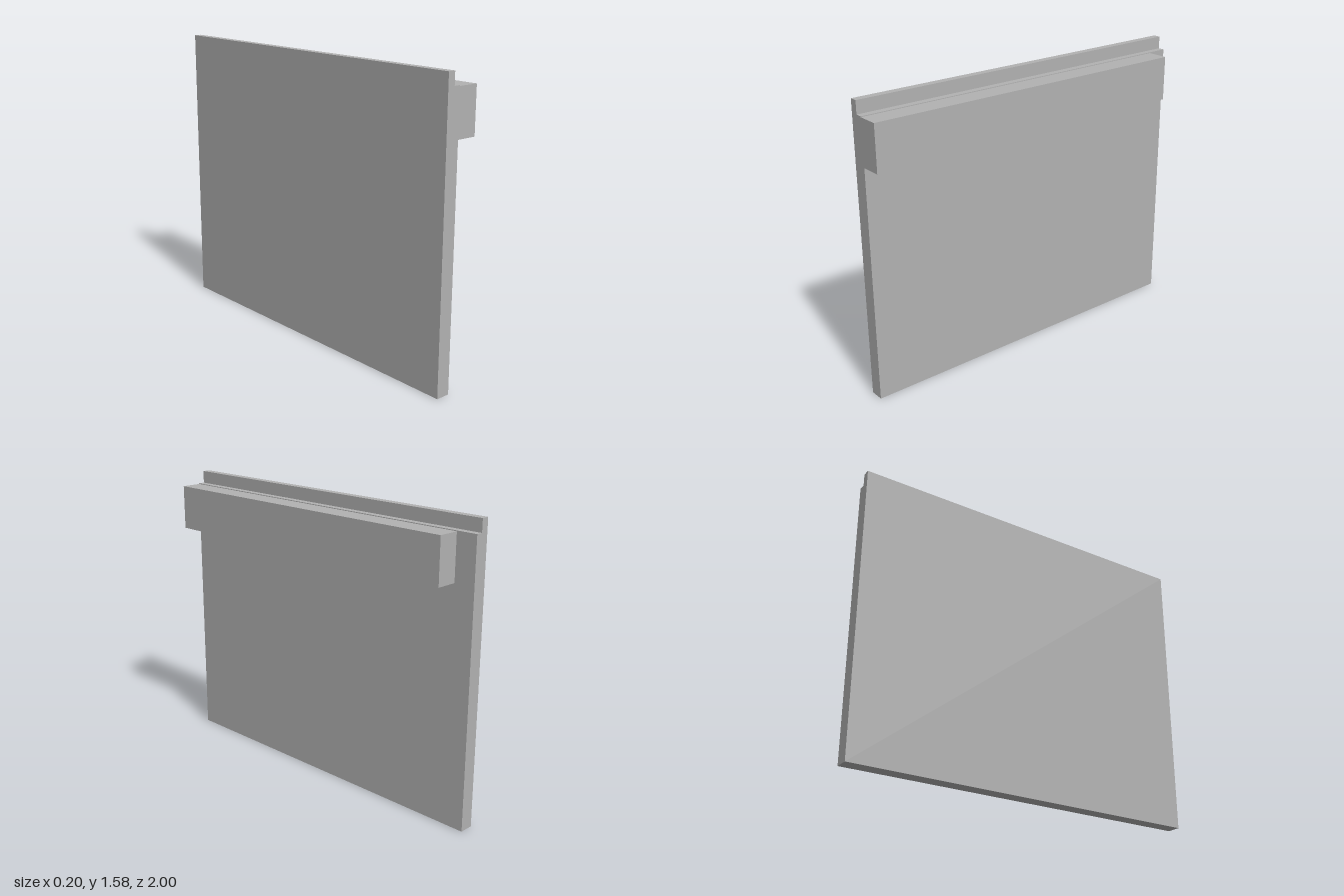
import * as THREE from 'three';

export function createModel() {
  const model = new THREE.Group();
  const grey = new THREE.MeshStandardMaterial({ color: 0xb2b2b2 });
  grey.name = 'plainGrey';

  // Extrudes a closed outline (x, y pairs) along z
  const extrude = (name, points, z0, z1) => {
    const shape = new THREE.Shape(points.map(([x, y]) => new THREE.Vector2(x, y)));
    const geometry = new THREE.ExtrudeGeometry(shape, { depth: z1 - z0, bevelEnabled: false });
    geometry.translate(0, 0, z0);
    const mesh = new THREE.Mesh(geometry, grey);
    mesh.name = name;
    model.add(mesh);
    return mesh;
  };

  // Upright panel with a thin lip along its top edge
  extrude('panel', [
    [-0.098, 0], [-0.021, 0], [-0.021, 1.509],
    [-0.057, 1.509], [-0.057, 1.577], [-0.098, 1.577],
  ], -1, 1);

  // Rail on the panel's left side, stopping short of the back
  const rail = extrude('rail', [
    [-0.021, 1.26], [0.098, 1.26], [0.098, 1.505], [-0.021, 1.505],
  ], -0.886, 1);

  // The rail's outer face narrows slightly towards the front
  const position = rail.geometry.attributes.position;
  for (let i = 0; i < position.count; i++) {
    if (position.getX(i) > 0 && position.getZ(i) > 0) position.setX(i, 0.092);
  }
  rail.geometry.computeVertexNormals();

  return model;
}
